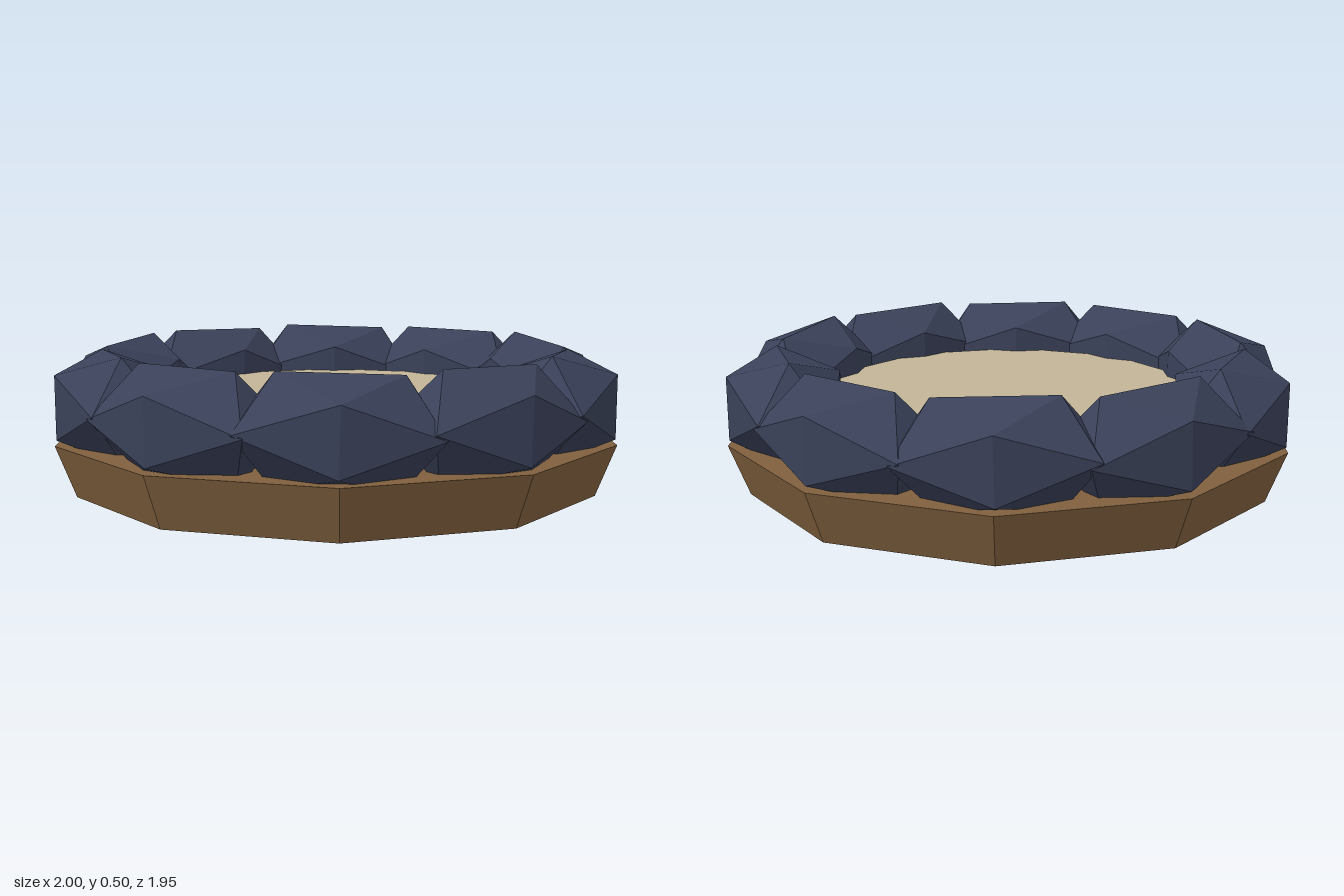
import * as THREE from 'three';

const SIDES = 10;
const STEP = (Math.PI * 2) / SIDES;

function flatMaterial(name, color) {
  const m = new THREE.MeshStandardMaterial({ color, flatShading: true });
  m.name = name;
  return m;
}

// Ten-sided tapered slab with a corner on the x axis
function slab(name, topRadius, bottomRadius, y0, y1, material) {
  const geo = new THREE.CylinderGeometry(topRadius, bottomRadius, y1 - y0, SIDES);
  geo.rotateY(STEP / 2);
  geo.translate(0, (y0 + y1) / 2, 0);
  const mesh = new THREE.Mesh(geo, material);
  mesh.name = name;
  return mesh;
}

export function createModel() {
  const wood = flatMaterial('brown earth', 0x80603e);
  const sand = flatMaterial('pale sand', 0xc2b496);
  const stone = flatMaterial('slate stone', 0x3a4159);

  const model = new THREE.Group();
  model.name = 'stoneRing';

  // Base and the raised sandy bed
  model.add(slab('base', 1, 0.93, 0, 0.18, wood));
  model.add(slab('sandBed', 0.665, 0.73, 0.17, 0.325, sand));

  // Ring of stones: stretched icosahedra, each tilted slightly
  const rolls = [0, 0.05, -0.04, -0.03, -0.03, 0, 0.03, -0.03, 0.03, 0.03];
  const stoneGeo = new THREE.IcosahedronGeometry(1, 0);
  stoneGeo.scale(0.375, 0.21, 0.228);
  const ring = new THREE.Group();
  ring.name = 'stones';
  for (let i = 0; i < SIDES; i++) {
    const a = i * STEP;
    const rock = new THREE.Mesh(stoneGeo, stone);
    rock.name = 'stone' + (i + 1);
    rock.position.set(Math.cos(a) * 0.8, 0.31, Math.sin(a) * 0.8);
    rock.rotation.set(0, Math.PI / 2 - a, rolls[i]);
    ring.add(rock);
  }
  model.add(ring);
  return model;
}
